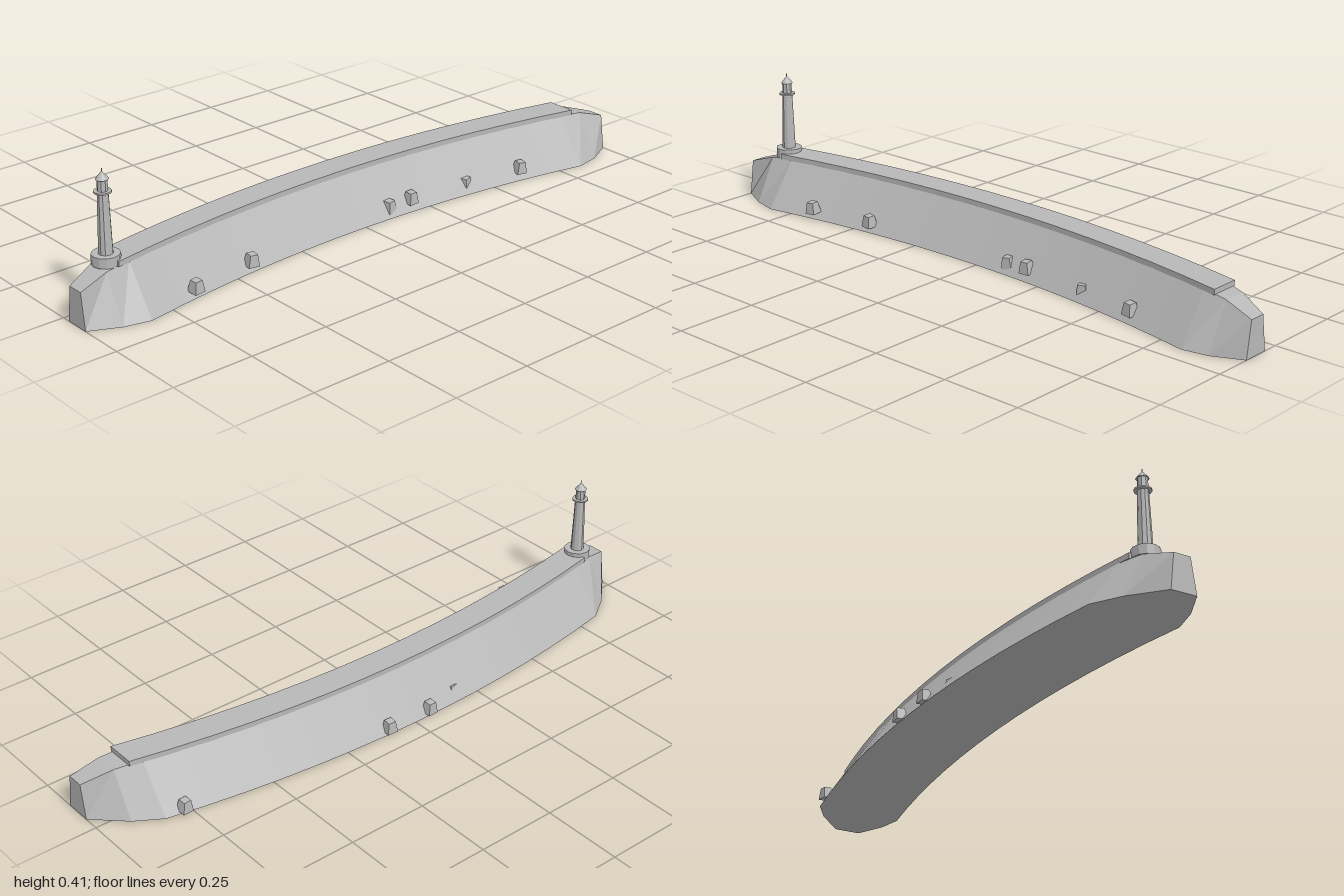
import * as THREE from 'three';

const stone = new THREE.MeshStandardMaterial({ color: 0xb8b8b8, flatShading: true });
stone.name = 'stone grey';

// Centre line of the curved mole
const centreZ = x => -0.045 + 0.012 * x + 0.123 * x * x;

// Lofts trapezoid sections [x, halfBottom, halfTop, bottomY, topY] along the curve
function loft(sections) {
  const pos = [];
  const rings = sections.map(([x, hb, ht, y0, y1]) => {
    const c = centreZ(x);
    return [[x, y0, c + hb], [x, y1, c + ht], [x, y1, c - ht], [x, y0, c - hb]];
  });
  const quad = (a, b, c, d) => pos.push(...a, ...b, ...c, ...a, ...c, ...d);
  for (let i = 0; i < rings.length - 1; i++) {
    const a = rings[i], b = rings[i + 1];
    for (let j = 0; j < 4; j++) {
      const k = (j + 1) % 4;
      quad(a[j], b[j], b[k], a[k]);
    }
  }
  const s = rings[0], e = rings[rings.length - 1];
  quad(s[0], s[1], s[2], s[3]);
  quad(e[0], e[3], e[2], e[1]);
  const g = new THREE.BufferGeometry();
  g.setAttribute('position', new THREE.Float32BufferAttribute(pos, 3));
  g.computeVertexNormals();
  return g;
}

function add(parent, name, geometry, x = 0, y = 0, z = 0) {
  const m = new THREE.Mesh(geometry, stone);
  m.name = name;
  m.position.set(x, y, z);
  parent.add(m);
  return m;
}

export function createModel() {
  const model = new THREE.Group();
  model.name = 'breakwater';

  // Sloped body with tapering rounded ends
  const body = [[-1, 0.04, 0.026, 0, 0.11], [-0.91, 0.104, 0.037, 0, 0.138]];
  for (let i = 0; i <= 14; i++) body.push([-0.83 + 1.66 * i / 14, 0.14, 0.043, 0, 0.145]);
  body.push([0.91, 0.107, 0.037, 0, 0.138], [1, 0.042, 0.026, 0, 0.11]);
  add(model, 'moleBody', loft(body));

  // Flat walkway slab along the crest
  const cap = [];
  for (let i = 0; i <= 14; i++) cap.push([-0.87 + 1.74 * i / 14, 0.046, 0.046, 0.14, 0.157]);
  add(model, 'walkwaySlab', loft(cap));

  // Lighthouse, as stacked faceted drums: name, top radius, bottom radius, from y, to y, sides
  const lighthouse = new THREE.Group();
  lighthouse.name = 'lighthouse';
  lighthouse.position.set(-0.88, 0, 0.038);
  model.add(lighthouse);
  for (const [name, rt, rb, y0, y1, sides] of [
    ['plinth', 0.041, 0.041, 0.14, 0.17, 12],
    ['tower', 0.016, 0.021, 0.17, 0.348, 10],
    ['gallery', 0.025, 0.025, 0.347, 0.352, 12],
    ['lantern', 0.015, 0.015, 0.352, 0.386, 8],
    ['lanternRoof', 0.001, 0.019, 0.385, 0.407, 10],
    ['finial', 0.0013, 0.0013, 0.4, 0.415, 6],
  ]) {
    add(lighthouse, name, new THREE.CylinderGeometry(rt, rb, y1 - y0, sides), 0, (y0 + y1) / 2, 0);
  }

  // Tapered armour blocks half sunk into the slopes: x, y, z, turn
  const block = new THREE.CylinderGeometry(0.017, 0.025, 0.036, 4).rotateY(Math.PI / 4);
  [
    [-0.66, 0.039, 0.141, 0.1], [-0.44, 0.037, 0.106, -0.12], [0.11, 0.031, 0.073, 0.2],
    [0.19, 0.04, 0.083, 0.05], [0.41, 0.029, 0.09, 0.3], [0.61, 0.04, 0.131, -0.15],
    [-0.06, 0.026, -0.178, 0.06], [0.095, 0.027, -0.177, -0.06],
    [0.77, 0.023, -0.097, 0.1], [-0.17, 0.025, -0.146, 0.2],
  ].forEach(([x, y, z, turn]) => {
    const b = add(model, 'armourBlock', block, x, y, z);
    b.rotation.set(z > 0 ? 0.08 : -0.08, turn, turn * 0.3);
  });

  return model;
}
